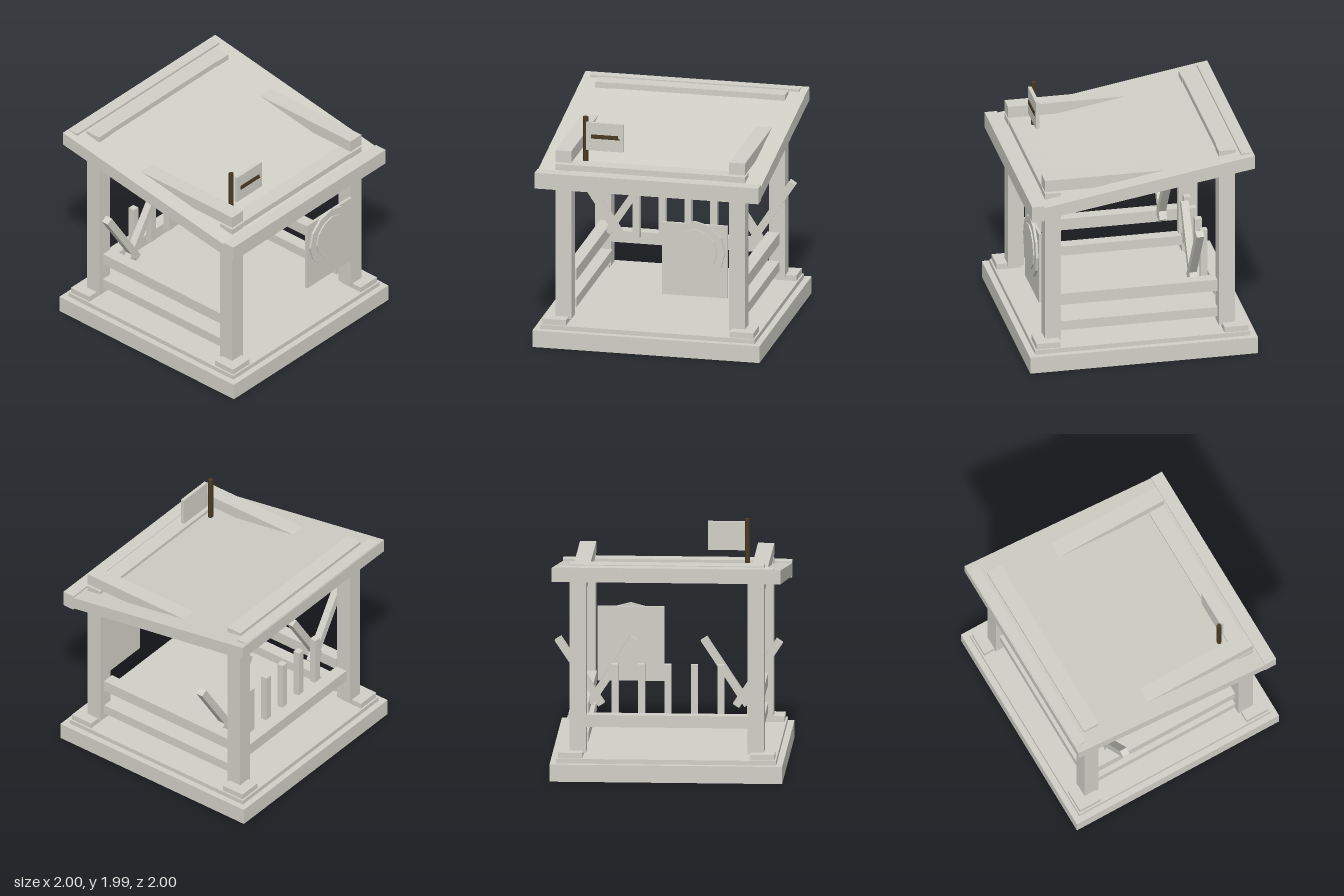
import * as THREE from 'three';

export function createModel() {
  const model = new THREE.Group();
  model.name = 'shelter';
  const stone = new THREE.MeshStandardMaterial({ color: 0xd0d0c7 });
  stone.name = 'pale grey';
  const dark = new THREE.MeshStandardMaterial({ color: 0x4a3a24 });
  dark.name = 'dark brown';

  const add = (name, geometry, material = stone) => {
    const mesh = new THREE.Mesh(geometry, material);
    mesh.name = name;
    model.add(mesh);
    return mesh;
  };
  // box given by its extents on each axis
  const box = (name, x0, x1, y0, y1, z0, z1) => {
    const mesh = add(name, new THREE.BoxGeometry(x1 - x0, y1 - y0, z1 - z0));
    mesh.position.set((x0 + x1) / 2, (y0 + y1) / 2, (z0 + z1) / 2);
    return mesh;
  };
  // box placed on one side of the model, s = 1 or -1
  const sideBox = (name, s, x0, x1, ...rest) =>
    box(name, Math.min(s * x0, s * x1), Math.max(s * x0, s * x1), ...rest);

  // stepped base
  box('base', -1, 1, 0, 0.15, -1, 1);
  box('floor', -0.945, 0.945, 0.15, 0.19, -0.945, 0.945);

  // brace leaning in the x-y plane between two points
  const brace = (xa, ya, xb, yb) => {
    const dx = xb - xa, dy = yb - ya;
    const mesh = add('brace', new THREE.BoxGeometry(0.065, Math.hypot(dx, dy), 0.065));
    mesh.position.set((xa + xb) / 2, (ya + yb) / 2, -0.498);
    mesh.rotation.z = Math.atan2(-dx, dy);
  };

  for (const s of [-1, 1]) {
    // posts and their feet
    sideBox('frontFoot', s, 0.72, 0.93, 0.19, 0.24, 0.72, 0.93);
    sideBox('backFoot', s, 0.72, 0.93, 0.19, 0.24, -0.93, -0.72);
    sideBox('frontPost', s, 0.695, 0.835, 0.22, 1.61, 0.695, 0.835);
    sideBox('backPost', s, 0.695, 0.835, 0.22, 1.87, -0.83, -0.69);
    // side beams and rails
    sideBox('sideBeam', s, 0.695, 0.835, 1.63, 1.735, -0.69, 0.835);
    sideBox('upperRail', s, 0.682, 0.79, 0.525, 0.63, -0.687, 0.687);
    sideBox('lowerRail', s, 0.682, 0.79, 0.285, 0.37, -0.687, 0.687);
    // crossing braces
    brace(s * 0.578, 0.583, s * 0.953, 1.157);
    brace(s * 0.678, 0.592, s * 0.302, 1.168);
  }

  // back rail with balusters
  box('backRail', -0.695, 0.695, 0.44, 0.545, -0.79, -0.682);
  for (let i = -2; i <= 2; i++) {
    const x = i * 0.2275;
    box('baluster', x - 0.03, x + 0.03, 0.515, 0.965, -0.665, -0.605);
  }

  // cross beams
  box('frontBeam', -0.695, 0.695, 1.5, 1.61, 0.69, 0.83);
  box('backBeam', -0.835, 0.835, 1.75, 1.87, -0.835, -0.695);

  // sloping roof, drawn in profile (z, y) and extruded across x
  const profile = new THREE.Shape([
    new THREE.Vector2(-0.975, 1.745), new THREE.Vector2(0.95, 1.427),
    new THREE.Vector2(0.95, 1.537), new THREE.Vector2(-0.975, 1.867),
  ]);
  const roof = new THREE.ExtrudeGeometry(profile, { depth: 1.97, bevelEnabled: false });
  roof.translate(0, 0, -0.985);
  roof.rotateY(-Math.PI / 2);
  add('roof', roof);
  box('frontTrim', -0.985, 0.985, 1.425, 1.567, 0.87, 0.98);
  box('backTrim', -0.92, 0.92, 1.765, 1.87, -0.965, -0.868);

  // front panel with a two-step twelve-sided disc
  box('frontPanel', 0.11, 0.685, 0.515, 1.165, 0.832, 0.857);
  const disc = (name, radius, z0, z1) => {
    const g = new THREE.CylinderGeometry(radius, radius, z1 - z0, 12).toNonIndexed();
    g.computeVertexNormals();
    g.rotateX(Math.PI / 2);
    add(name, g).position.set(0.4, 0.927, (z0 + z1) / 2);
  };
  disc('outerDisc', 0.268, 0.857, 0.878);
  disc('innerDisc', 0.2, 0.878, 0.89);

  // sign on a hexagonal pole
  const poleGeometry = new THREE.CylinderGeometry(0.023, 0.023, 0.535, 6).toNonIndexed();
  poleGeometry.computeVertexNormals();
  poleGeometry.rotateY(Math.PI / 2);
  add('signPole', poleGeometry, dark).position.set(-0.615, 1.723, 0.627);
  box('signBoard', -0.6, -0.273, 1.705, 1.955, 0.65, 0.68);
  const mark = new THREE.Shape([
    new THREE.Vector2(-0.555, 1.815), new THREE.Vector2(-0.303, 1.815),
    new THREE.Vector2(-0.32, 1.832), new THREE.Vector2(-0.318, 1.85),
    new THREE.Vector2(-0.555, 1.85),
  ]);
  const markGeometry = new THREE.ExtrudeGeometry(mark, { depth: 0.009, bevelEnabled: false });
  add('signMark', markGeometry, dark).position.z = 0.68;

  return model;
}
